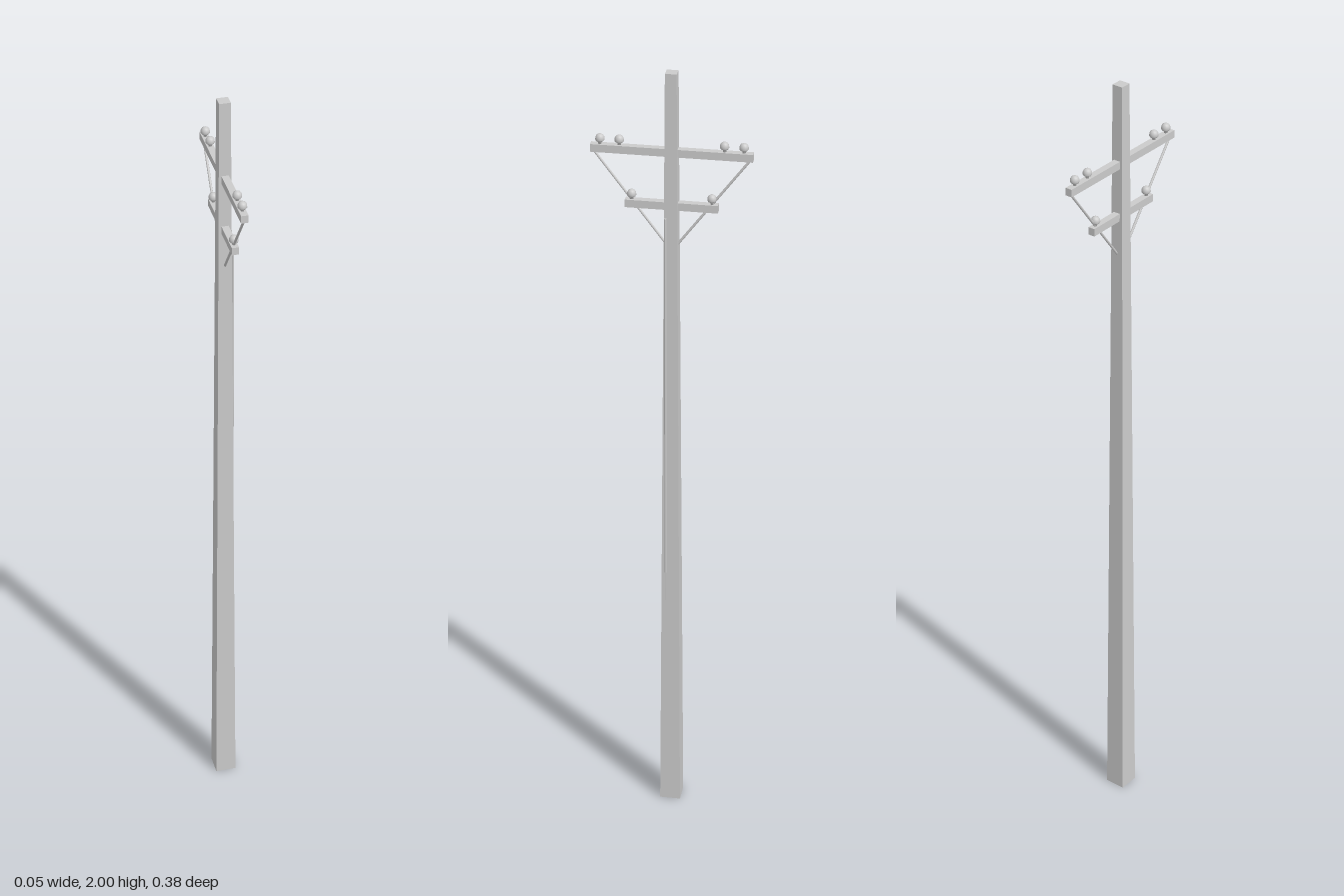
import * as THREE from 'three';

const grey = new THREE.MeshStandardMaterial({ color: 0xcccccc });
const flat = new THREE.MeshStandardMaterial({ color: 0xcccccc, flatShading: true });

function add(parent, name, geometry, material, x, y, z) {
  const mesh = new THREE.Mesh(geometry, material);
  mesh.name = name;
  mesh.position.set(x, y, z);
  parent.add(mesh);
  return mesh;
}

// Pin, flared skirt and domed cap, turned as one profile
const insulatorProfile = [
  [0, 0], [0.004, 0], [0.004, 0.007], [0.009, 0.008], [0.011, 0.011],
  [0.0105, 0.017], [0.008, 0.022], [0.004, 0.0245], [0, 0.025],
].map(([r, y]) => new THREE.Vector2(r, y));

// Thin round rod between two points
function rod(parent, name, a, b, radius) {
  const dir = b.clone().sub(a);
  const mid = a.clone().add(b).multiplyScalar(0.5);
  const mesh = add(parent, name, new THREE.CylinderGeometry(radius, radius, dir.length(), 8), grey, mid.x, mid.y, mid.z);
  mesh.quaternion.setFromUnitVectors(new THREE.Vector3(0, 1, 0), dir.normalize());
}

export function createModel() {
  const model = new THREE.Group();
  model.name = 'utilityPole';

  // Square pole, tapering to the top
  const poleShape = new THREE.CylinderGeometry(0.0135 * Math.SQRT2, 0.026 * Math.SQRT2, 2, 4);
  poleShape.rotateY(Math.PI / 4);
  add(model, 'pole', poleShape, flat, 0, 1, -0.001);

  // Crossarms with their insulators
  const arms = [
    { name: 'upperCrossarm', y: 1.805, length: 0.378, spots: [0.122, 0.167] },
    { name: 'lowerCrossarm', y: 1.672, length: 0.218, spots: [0.094] },
  ];
  for (const { name, y, length, spots } of arms) {
    add(model, name, new THREE.BoxGeometry(0.017, 0.019, length), flat, 0, y, -0.001);
    for (const spot of spots) {
      for (const side of [-1, 1]) {
        add(model, 'insulator', new THREE.LatheGeometry(insulatorProfile, 16), grey, 0, y + 0.0085, side * spot - 0.001);
      }
    }
  }

  // Diagonal braces from the upper arm ends down to the pole
  for (const side of [-1, 1]) {
    rod(model, 'brace', new THREE.Vector3(0, 1.8, side * 0.184 - 0.001), new THREE.Vector3(0, 1.57, side * 0.011 - 0.001), 0.003);
  }

  // Upright conduit on the left face, sinking into the taper
  rod(model, 'conduit', new THREE.Vector3(0.0195, 0.58, 0.011), new THREE.Vector3(0.0195, 1.645, 0.011), 0.003);

  return model;
}
